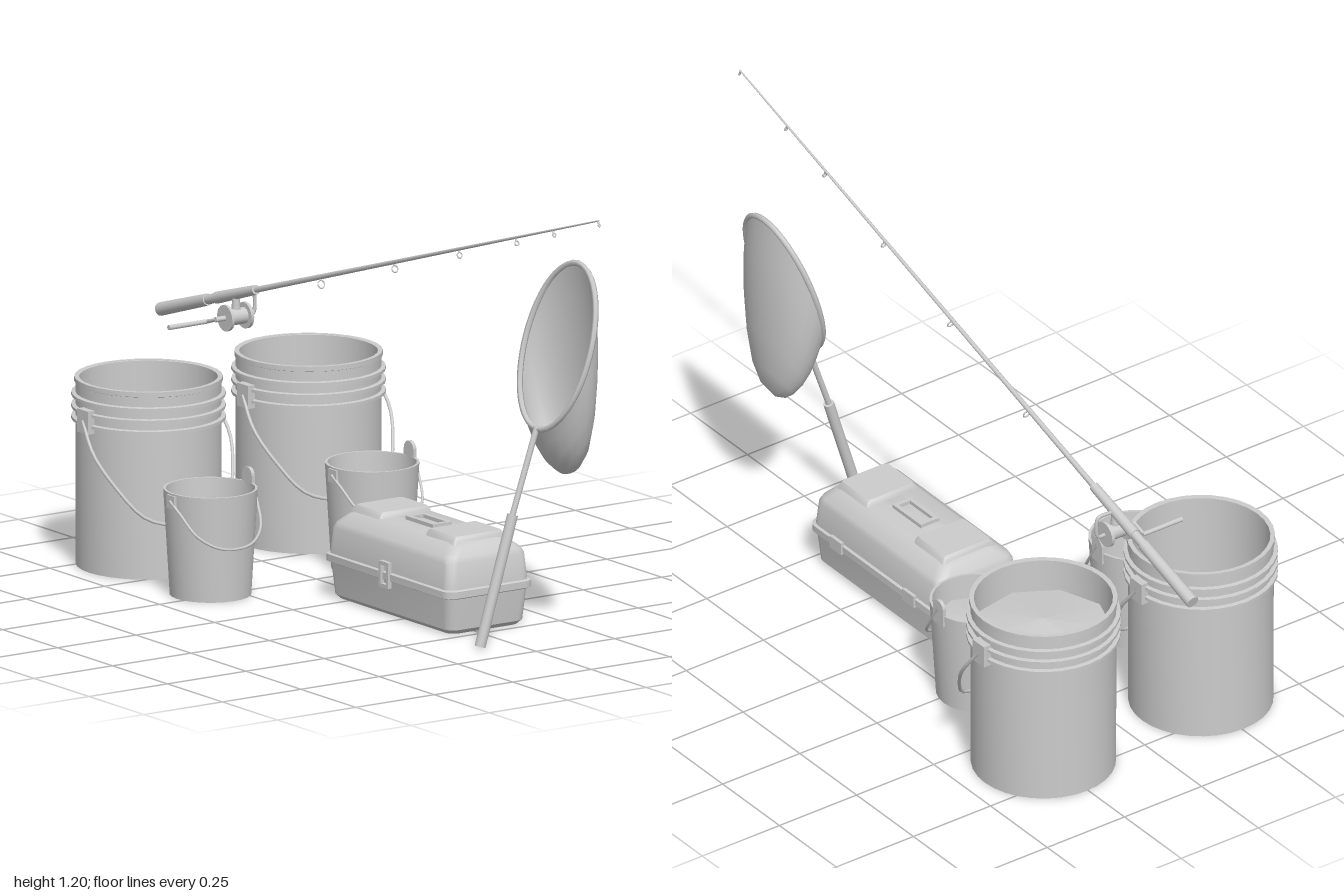
import * as THREE from 'three';
import { toCreasedNormals } from 'three/addons/utils/BufferGeometryUtils.js';

const mat = new THREE.MeshStandardMaterial({ color: 0xcccccc, side: THREE.DoubleSide });
const V = (x, y, z) => new THREE.Vector3(x, y, z);

function add(parent, name, geo, x = 0, y = 0, z = 0) {
  const m = new THREE.Mesh(geo, mat);
  m.name = name;
  m.position.set(x, y, z);
  parent.add(m);
  return m;
}
function group(parent, name, x = 0, y = 0, z = 0) {
  const g = new THREE.Group();
  g.name = name;
  g.position.set(x, y, z);
  parent.add(g);
  return g;
}
const box = (parent, name, w, h, d, x, y, z) => add(parent, name, new THREE.BoxGeometry(w, h, d), x, y, z);

// Tapered round bar from a to b
function bar(parent, name, a, b, r1, r2 = r1, sides = 12) {
  const m = add(parent, name, new THREE.CylinderGeometry(r2, r1, a.distanceTo(b), sides));
  m.position.copy(a).lerp(b, 0.5);
  m.quaternion.setFromUnitVectors(V(0, 1, 0), b.clone().sub(a).normalize());
  return m;
}
function wire(parent, name, pts, r, closed = false, n = 32) {
  const curve = new THREE.CatmullRomCurve3(pts, closed, 'centripetal');
  return add(parent, name, new THREE.TubeGeometry(curve, n, r, 6, closed));
}
const lathe = (pts, sides = 32) => toCreasedNormals(
  new THREE.LatheGeometry(pts.map(p => new THREE.Vector2(...p)), sides), 0.6);

// Skin over equal-length closed rings
function loft(rings, crease = 0.6) {
  const n = rings[0].length, index = [];
  for (let i = 0; i < rings.length - 1; i++)
    for (let j = 0; j < n; j++) {
      const a = i * n + j, b = i * n + (j + 1) % n;
      index.push(a, a + n, b, b, a + n, b + n);
    }
  const g = new THREE.BufferGeometry().setFromPoints(rings.flat());
  g.setIndex(index);
  g.computeVertexNormals();
  return toCreasedNormals(g, crease);
}
// Horizontal rounded rectangle: half width, half depth, corner radius
function rect(y, w, d, r) {
  const pts = [];
  for (let c = 0; c < 4; c++)
    for (let k = 0; k <= 4; k++) {
      const a = (c + k / 4) * Math.PI / 2;
      const sx = c === 0 || c === 3 ? 1 : -1, sz = c < 2 ? 1 : -1;
      pts.push(V(sx * (w - r) + r * Math.cos(a), y, sz * (d - r) + r * Math.sin(a)));
    }
  return pts;
}
const block = rows => loft([rect(rows[0][0], 0, 0, 0), ...rows.map(r => rect(...r)), rect(rows.at(-1)[0], 0, 0, 0)]);

function largeBucket(root, z, filled) {
  const g = group(root, 'largeBucket', -0.65, 0, z);
  add(g, 'bucketWall', lathe([[0, 0.012], [0.178, 0.012], [0.183, 0], [0.19, 0], [0.191, 0.5],
    [0.182, 0.5], [0.178, 0.025], [0, 0.025]]));
  for (const y of [0.395, 0.425, 0.457])
    add(g, 'rimRing', lathe([[0.189, y - 0.006], [0.202, y - 0.004], [0.202, y + 0.004], [0.189, y + 0.006]]));
  add(g, 'rimLip', lathe([[0.189, 0.488], [0.194, 0.49], [0.194, 0.503], [0.182, 0.503]]));
  if (filled) add(g, 'contents', new THREE.ConeGeometry(0.182, 0.025, 9, 1, true), 0, 0.425, 0);
  for (const s of [1, -1]) box(g, 'handleEar', 0.05, 0.062, 0.022, 0, 0.408, s * 0.2);
  // Wire handle resting against the +x side
  const half = [[0, 0.41, 0.21], [0.06, 0.33, 0.217], [0.12, 0.245, 0.184], [0.172, 0.172, 0.132], [0.194, 0.147, 0.055]];
  wire(g, 'wireHandle', [...half.map(p => V(...p)), ...half.reverse().map(([x, y, q]) => V(x, y, -q))], 0.005);
}

function smallBucket(root, z, filled) {
  const g = group(root, 'smallBucket', -0.275, 0, z);
  add(g, 'pailWall', lathe([[0, 0.008], [0.1, 0.008], [0.102, 0], [0.107, 0], [0.124, 0.284],
    [0.117, 0.284], [0.1, 0.015], [0, 0.015]], 24));
  if (filled) add(g, 'contents', new THREE.ConeGeometry(0.113, 0.012, 8, 1, true), 0, 0.225, 0);
  // Raised rear tab and flush front ear
  const tab = new THREE.CylinderGeometry(0.022, 0.022, 0.01, 16).rotateX(Math.PI / 2);
  add(g, 'rearTabTop', tab, 0, 0.302, -0.121);
  box(g, 'rearTab', 0.044, 0.05, 0.01, 0, 0.277, -0.121);
  box(g, 'frontEar', 0.035, 0.035, 0.01, 0, 0.262, 0.123);
  const path = [[0, 0.3, -0.127], [0.035, 0.245, -0.122], [0.085, 0.18, -0.1], [0.116, 0.147, -0.045],
    [0.116, 0.147, 0.045], [0.085, 0.18, 0.1], [0.035, 0.235, 0.122], [0, 0.265, 0.13]];
  wire(g, 'wireHandle', path.map(p => V(...p)), 0.004);
}

function tackleBox(root) {
  const g = group(root, 'tackleBox', 0.208, 0, -0.037);
  add(g, 'boxBase', block([[0, 0.26, 0.11, 0.025], [0.012, 0.272, 0.122, 0.03], [0.1, 0.28, 0.13, 0.03]]));
  add(g, 'boxLip', block([[0.098, 0.283, 0.133, 0.03], [0.101, 0.288, 0.139, 0.03],
    [0.119, 0.288, 0.139, 0.03], [0.122, 0.283, 0.133, 0.03]]));
  add(g, 'boxLid', block([[0.12, 0.281, 0.132, 0.03], [0.19, 0.274, 0.127, 0.03], [0.205, 0.267, 0.12, 0.03],
    [0.228, 0.247, 0.092, 0.03], [0.236, 0.235, 0.08, 0.03]]));
  for (const s of [1, -1]) {
    add(g, 'lidPad', block([[0.2, 0.075, 0.097, 0.012], [0.243, 0.066, 0.08, 0.01], [0.251, 0.06, 0.074, 0.01]]), s * 0.168, 0, 0);
    // Top carry handle frame
    box(g, 'handleSide', 0.125, 0.012, 0.012, 0, 0.24, s * 0.024);
    box(g, 'handleEnd', 0.012, 0.012, 0.056, s * 0.056, 0.24, 0);
    box(g, 'latchBar', 0.04, 0.01, 0.012, 0, 0.115 + s * 0.03, 0.139);
    box(g, 'latchSide', 0.009, 0.065, 0.012, s * 0.017, 0.115, 0.139);
    box(g, 'rearHinge', 0.05, 0.035, 0.01, s * 0.16, 0.112, -0.139);
  }
}

function landingNet(root) {
  const g = group(root, 'landingNet', 0.64, 0, 0);
  bar(g, 'netGrip', V(0, 0.005, 0.102), V(0, 0.345, -0.002), 0.0145);
  bar(g, 'netShaft', V(0, 0.34, 0), V(0, 0.57, -0.079), 0.008);
  // Bag cross-sections: [half width, far y, far z, near y, near z]
  const rows = [[0.147, 0.99, -0.211, 0.562, -0.08], [0.14, 0.9, -0.221, 0.528, -0.092],
    [0.126, 0.78, -0.226, 0.49, -0.108], [0.104, 0.65, -0.226, 0.462, -0.126],
    [0.076, 0.54, -0.219, 0.444, -0.145], [0.045, 0.475, -0.206, 0.434, -0.158], [0, 0.431, -0.175, 0.431, -0.175]];
  const oval = ([w, y1, z1, y0, z0], n = 24) => Array.from({ length: n }, (_, j) => {
    const a = j / n * Math.PI * 2, s = (1 + Math.sin(a)) / 2;
    return V(w * Math.cos(a), y0 + (y1 - y0) * s, z0 + (z1 - z0) * s);
  });
  add(g, 'netBag', loft(rows.map(r => oval(r)), 1.2));
  wire(g, 'netHoop', oval([0.145, 0.991, -0.211, 0.564, -0.08]), 0.008, true, 48);
}

function fishingRod(root) {
  const g = group(root, 'fishingRod', 0, 0, -0.025);
  const at = x => V(x, 0.8875 + x * 0.3125, 0);
  bar(g, 'rodGrip', at(-0.995), at(-0.78), 0.018, 0.016);
  bar(g, 'reelSeat', at(-0.78), at(-0.6), 0.013);
  bar(g, 'foreGrip', at(-0.74), at(-0.56), 0.016, 0.013);
  bar(g, 'rodBlank', at(-0.56), at(1), 0.008, 0.002, 8);
  // Line guides shrink toward the tip
  [-0.27, 0.065, 0.36, 0.62, 0.79, 0.995].forEach((x, i) => {
    const r = 0.0105 - i * 0.0015, p = at(x);
    const ring = add(g, 'lineGuide', new THREE.TorusGeometry(r, 0.002, 6, 14).rotateY(Math.PI / 2), p.x + 0.006, p.y - r - 0.008, 0);
    ring.rotation.z = 0.3;
    bar(g, 'guideFoot', p, V(p.x + 0.005, p.y - 0.009, 0), 0.003, 0.003, 6);
  });
  // Reel, with its axle across the rod
  const reel = group(g, 'reel', -0.652, 0.623, 0);
  const drum = (name, r, z0, z1) => bar(reel, name, V(0, 0, z0), V(0, 0, z1), r, r, 20);
  drum('spool', 0.022, -0.028, 0.036);
  drum('outerFlange', 0.035, 0.028, 0.036);
  drum('innerFlange', 0.035, -0.034, -0.025);
  drum('crankShaft', 0.007, 0.036, 0.066);
  bar(reel, 'reelStem', V(0, 0.02, 0), V(0, 0.06, 0), 0.012, 0.009);
  bar(reel, 'crankArm', V(0, 0, 0.063), V(-0.042, -0.013, 0.063), 0.005);
  bar(reel, 'crankKnob', V(-0.042, -0.013, 0.06), V(-0.042, -0.013, 0.185), 0.006, 0.007);
  wire(reel, 'lineArm', [V(0, 0, -0.03), V(0, 0, -0.052), V(0, 0.008, -0.058), V(0, 0.052, -0.058),
    V(0, 0.06, -0.052), V(0, 0.06, 0)], 0.005);
}

export function createModel() {
  const root = new THREE.Group();
  root.name = 'fishingGear';
  largeBucket(root, 0.255, false);
  largeBucket(root, -0.255, true);
  smallBucket(root, 0.32, false);
  smallBucket(root, -0.195, true);
  tackleBox(root);
  landingNet(root);
  fishingRod(root);
  return root;
}
